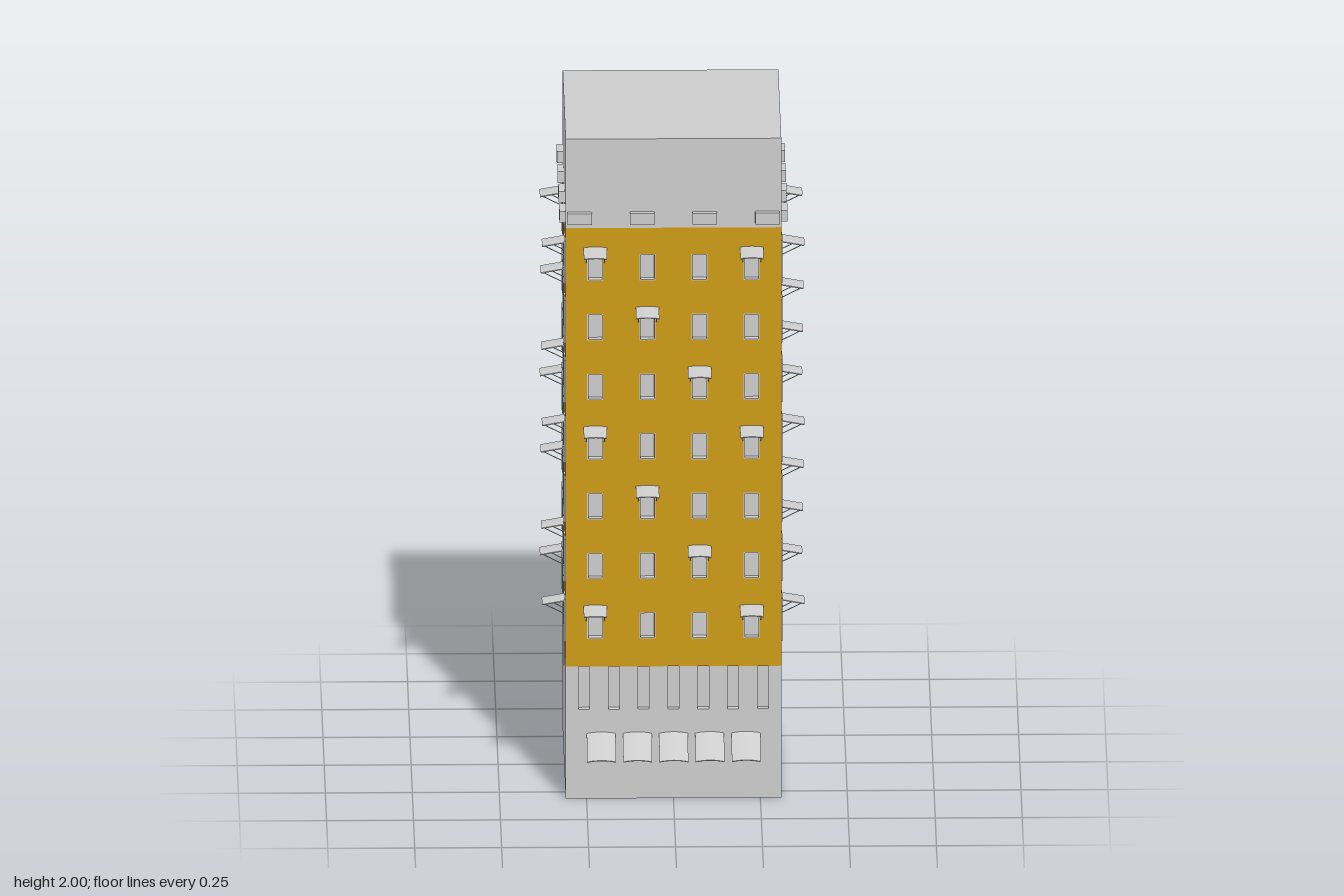
import * as THREE from 'three';

const H = 0.31;          // half width of the tower
const REVEAL = 0.02;     // depth of the window recesses
const COLS = [-0.225, -0.075, 0.075, 0.225];
const ROWS = [0, 1, 2, 3, 4, 5, 6].map((i) => 0.524 + i * 0.181);
const BAND = [0.4, 1.73]; // coloured storeys

const grey = new THREE.MeshStandardMaterial({ color: 0xcccccc });
const thin = new THREE.MeshStandardMaterial({ color: 0xcccccc, side: THREE.DoubleSide });
const ochre = new THREE.MeshStandardMaterial({ color: 0xcc9a14 });

function add(parent, name, geometry, material = grey, x = 0, y = 0, z = 0) {
  const mesh = new THREE.Mesh(geometry, material);
  mesh.name = name;
  mesh.position.set(x, y, z);
  parent.add(mesh);
  return mesh;
}

function rect(Type, x, y, w, h) {
  return new Type([[-1, -1], [1, -1], [1, 1], [-1, 1]].map(
    ([a, b]) => new THREE.Vector2(x + a * w / 2, y + b * h / 2)));
}

const extrude = (shape, depth) =>
  new THREE.ExtrudeGeometry(shape, { depth, bevelEnabled: false });

// Square footprint raised from y0 to y1, with notches cut into each side
function notchedBlock(parent, name, y0, y1, notchesOnSide) {
  const points = [];
  for (let side = 0; side < 4; side++) {
    const a = side * Math.PI / 2;
    const put = (u, v) => points.push(new THREE.Vector2(
      u * Math.cos(a) - v * Math.sin(a), u * Math.sin(a) + v * Math.cos(a)));
    put(-H, -H);
    for (const { u, w, d } of notchesOnSide(side)) {
      put(u - w / 2, -H);
      put(u - w / 2, -H + d);
      put(u + w / 2, -H + d);
      put(u + w / 2, -H);
    }
  }
  const geo = extrude(new THREE.Shape(points), y1 - y0);
  geo.rotateX(-Math.PI / 2); // shape -y becomes +z
  add(parent, name, geo, grey, 0, y0, 0);
}

// Wall panel with window holes and grey window linings
function wall(parent, width, winW, winH, proud) {
  const shape = rect(THREE.Shape, 0, (BAND[0] + BAND[1]) / 2, width, BAND[1] - BAND[0]);
  const lining = rect(THREE.Shape, 0, 0, winW, winH);
  lining.holes.push(rect(THREE.Path, 0, 0, winW - 0.006, winH - 0.006));
  const liningGeo = extrude(lining, REVEAL + proud);
  for (const y of ROWS) {
    for (const x of COLS) {
      shape.holes.push(rect(THREE.Path, x, y, winW, winH));
      add(parent, 'windowFrame', liningGeo, grey, x, y, H - REVEAL);
    }
  }
  add(parent, 'wallPanel', extrude(shape, REVEAL), ochre, 0, 0, H - REVEAL);
}

// Thin plate sloping out from the wall, slightly arched across its width
function archedPlate(width, out, drop, sag) {
  const n = 8, t = 0.003, top = [], bottom = [];
  for (let i = 0; i <= n; i++) {
    const u = i / n * 2 - 1;
    const y = sag * (1 - u * u);
    top.push(new THREE.Vector2(u * width / 2, y));
    bottom.unshift(new THREE.Vector2(u * width / 2, y - t));
  }
  const geo = extrude(new THREE.Shape([...bottom, ...top]), Math.hypot(out, drop));
  geo.rotateX(Math.atan2(drop, out));
  return geo;
}

const canopyGeo = archedPlate(0.083, 0.103, 0.052, 0.006);
const awningGeo = archedPlate(0.067, 0.067, 0.012, 0.003);
const strutLine = new THREE.LineCurve3(
  new THREE.Vector3(0, -0.045, -0.002), new THREE.Vector3(0, -0.012, 0.063));
const strutGeo = new THREE.TubeGeometry(strutLine, 1, 0.0015, 5);

function awning(parent, x, y) {
  const group = new THREE.Group();
  group.name = 'windowAwning';
  group.position.set(x, y, H);
  add(group, 'awningPlate', awningGeo, thin);
  for (const s of [-1, 1]) add(group, 'awningStrut', strutGeo, thin, s * 0.026, 0, 0);
  parent.add(group);
}

export function createModel() {
  const model = new THREE.Group();
  model.name = 'towerBlock';

  // Base: doorway at the back, plain course, then a course of tall slots
  notchedBlock(model, 'doorwayCourse', 0, 0.145,
    (side) => (side === 2 ? [{ u: 0, w: 0.11, d: 0.07 }] : []));
  notchedBlock(model, 'plainCourse', 0.145, 0.27, () => []);
  const slots = [-3, -2, -1, 0, 1, 2, 3].map((i) => ({ u: i * 0.0857, w: 0.032, d: 0.02 }));
  notchedBlock(model, 'slottedCourse', 0.27, BAND[0], () => slots);

  // Grey core behind the windows and the plain top
  const inner = 2 * (H - REVEAL);
  add(model, 'core', new THREE.BoxGeometry(inner, BAND[1] - BAND[0], inner),
    grey, 0, (BAND[0] + BAND[1]) / 2, 0);
  add(model, 'topBlock', new THREE.BoxGeometry(2 * H, 2 - BAND[1], 2 * H),
    grey, 0, (2 + BAND[1]) / 2, 0);

  const ventGeo = new THREE.BoxGeometry(0.07, 0.034, 0.04);
  ['frontSide', 'leftSide', 'backSide', 'rightSide'].forEach((name, k) => {
    const side = new THREE.Group();
    side.name = name;
    side.rotation.y = k * Math.PI / 2;
    model.add(side);

    // Small windows front and back, large proud ones on the flanks
    if (k % 2 === 0) wall(side, 2 * H, 0.046, 0.08, 0);
    else wall(side, inner, 0.073, 0.13, 0.004);

    // Awnings step across the storeys in a repeating pattern of three
    ROWS.forEach((y, i) => {
      const cols = [[0, 3], [2], [1]][i % 3];
      for (const c of cols) awning(side, COLS[c], y + 0.06);
    });

    // Projecting blocks above the coloured storeys
    for (const x of [-0.27, -0.09, 0.09, 0.27]) {
      add(side, 'corniceBlock', ventGeo, grey, x, 1.762, H - 0.002);
    }

    // Row of street canopies front and back
    if (k % 2 === 0) {
      for (let i = -2; i <= 2; i++) {
        add(side, 'streetCanopy', canopyGeo, thin, i * 0.104, 0.197, H);
      }
    }
  });
  return model;
}
